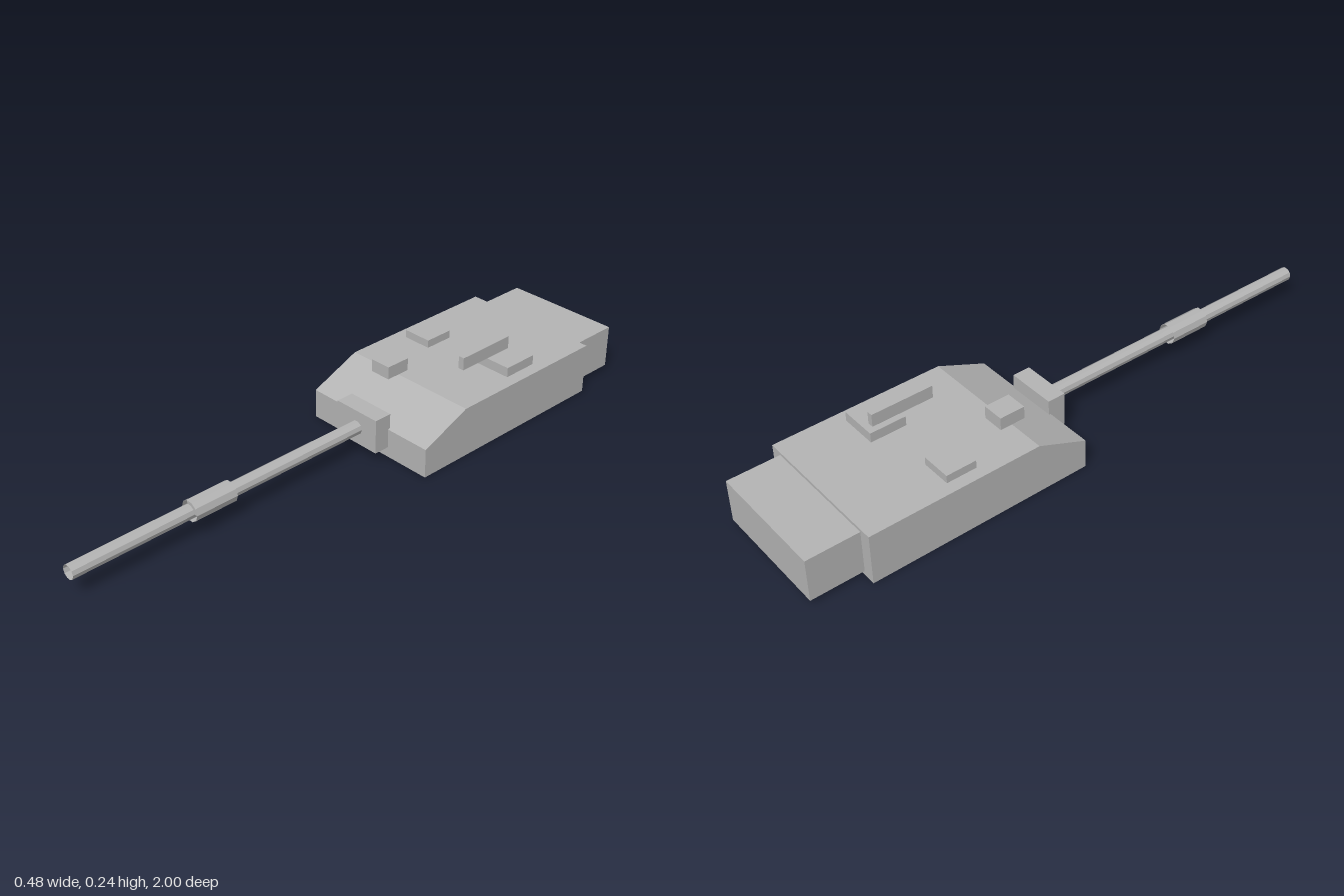
import * as THREE from 'three';

export function createModel() {
  const group = new THREE.Group();
  group.name = 'turret';
  const grey = new THREE.MeshStandardMaterial({ color: 0xb4b4b4, flatShading: true, side: THREE.DoubleSide });
  grey.name = 'plain grey';

  const add = (name, geometry) => {
    const mesh = new THREE.Mesh(geometry, grey);
    mesh.name = name;
    group.add(mesh);
    return mesh;
  };
  // Box given by its lower and upper limits on each axis
  const box = (name, [x0, x1], [y0, y1], [z0, z1]) =>
    add(name, new THREE.BoxGeometry(x1 - x0, y1 - y0, z1 - z0))
      .position.set((x0 + x1) / 2, (y0 + y1) / 2, (z0 + z1) / 2);
  // Open ten-sided tube lying along z
  const axisY = 0.09;
  const tube = (name, radius, z0, z1) => {
    const g = new THREE.CylinderGeometry(radius, radius, z1 - z0, 10, 1, true, Math.PI / 2);
    add(name, g.rotateX(Math.PI / 2)).position.set(0, axisY, (z0 + z1) / 2);
  };

  // Main housing: side profile (z, y) with a sloped front, extruded across x
  const profile = new THREE.Shape([
    [-0.83, 0], [-0.09, 0], [-0.09, 0.097], [-0.26, 0.168], [-0.83, 0.168],
  ].map(([z, y]) => new THREE.Vector2(z, y)));
  const housing = new THREE.ExtrudeGeometry(profile, { depth: 0.48, bevelEnabled: false });
  add('housing', housing.translate(0, 0, -0.24).rotateY(-Math.PI / 2));

  box('rearBustle', [-0.2, 0.2], [0.015, 0.158], [-1, -0.83]);
  box('mantlet', [-0.083, 0.083], [0.034, 0.148], [-0.098, -0.038]);

  // Roof fittings
  box('rightHatch', [-0.2, -0.1], [0.168, 0.194], [-0.55, -0.45]);
  box('leftHatch', [0.073, 0.199], [0.168, 0.2], [-0.612, -0.492]);
  box('sight', [-0.116, -0.044], [0.168, 0.21], [-0.3, -0.215]);
  box('roofGun', [0.094, 0.114], [0.2, 0.242], [-0.59, -0.382]);

  // Gun barrel with its thicker sleeve and a partial front lip
  tube('barrel', 0.023, -0.04, 1);
  tube('barrelSleeve', 0.034, 0.455, 0.6);
  add('sleeveLip', new THREE.RingGeometry(0.023, 0.034, 3, 1, 0, Math.PI * 0.6))
    .position.set(0, axisY, 0.6);

  return group;
}
